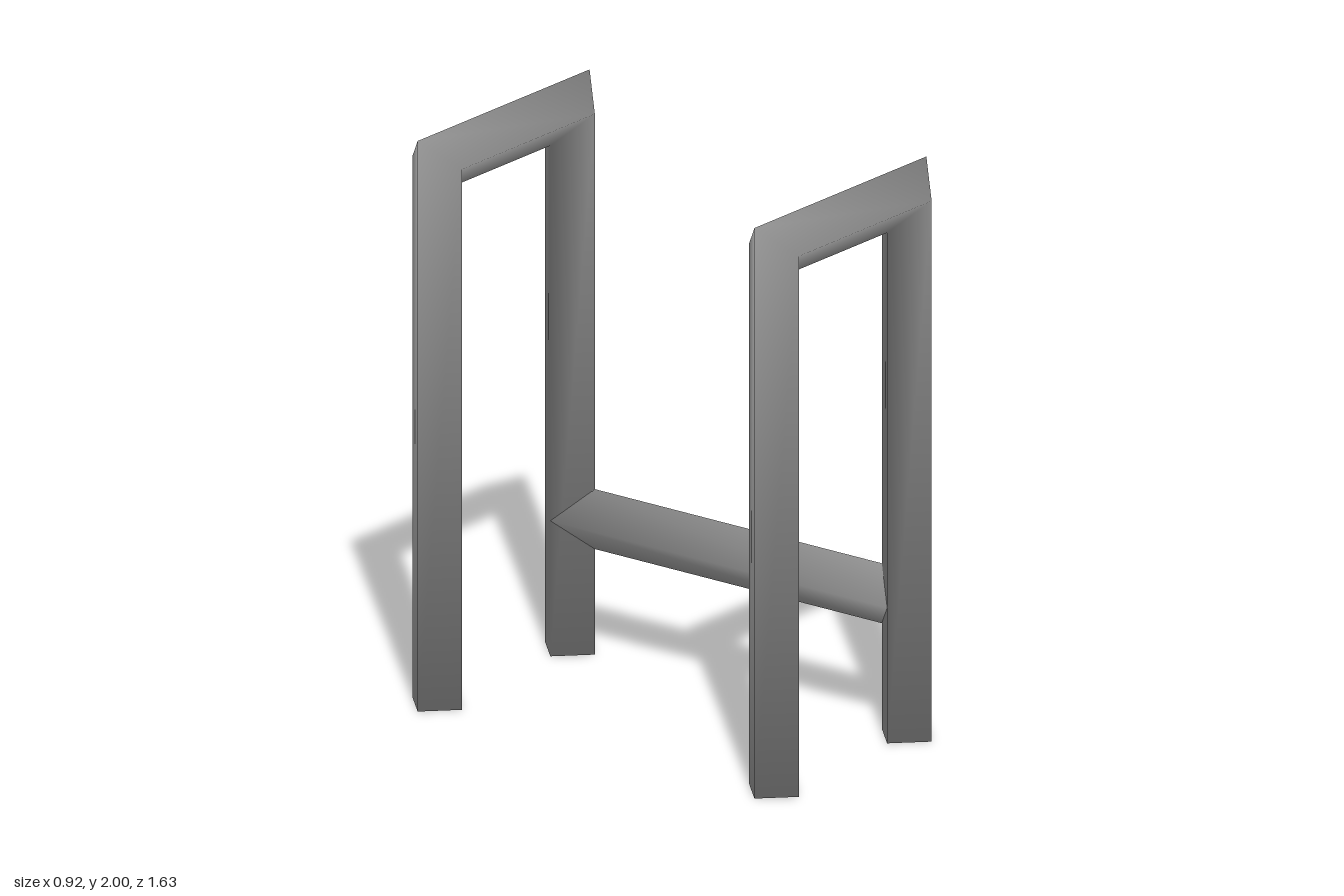
import * as THREE from 'three';

const R = 0.105; // half diagonal of the square section
const X = 0.355, Z = 0.71, TOP = 1.895;
const v = (x, y, z) => new THREE.Vector3(x, y, z);

// Sweeps a diamond section along a path; each stop is [centre, outward offset], smooth shaded.
function diamondBar(stops, side) {
  const points = [], quads = [], last = (stops.length - 1) * 4;
  for (const [c, out] of stops) {
    for (const d of [out, side, out.clone().negate(), side.clone().negate()]) {
      points.push(c.clone().addScaledVector(d, R));
    }
  }
  for (let i = 0; i < last; i += 4) {
    for (let j = 0; j < 4; j++) {
      const a = i + j, b = i + (j + 1) % 4;
      quads.push([a, b, b + 4, a + 4]);
    }
  }
  quads.push([3, 2, 1, 0], [last, last + 1, last + 2, last + 3]); // end caps

  // Shared normals, each face weighted by its corner angle so long faces do not dominate
  const normals = points.map(() => v(0, 0, 0));
  for (const q of quads) {
    q.forEach((p, k) => {
      const e1 = points[q[(k + 1) % 4]].clone().sub(points[p]);
      const e2 = points[q[(k + 3) % 4]].clone().sub(points[p]);
      const angle = e1.angleTo(e2);
      normals[p].addScaledVector(e1.cross(e2).normalize(), angle);
    });
  }
  normals.forEach((n) => n.normalize());

  const g = new THREE.BufferGeometry().setFromPoints(points);
  g.setAttribute('normal', new THREE.Float32BufferAttribute(normals.flatMap((n) => n.toArray()), 3));
  g.setIndex(quads.flatMap(([a, b, c, d]) => [a, b, c, a, c, d]));
  return g;
}

export function createModel() {
  const group = new THREE.Group();
  const material = new THREE.MeshStandardMaterial({ color: 0x909090 });
  const add = (name, geometry, z = 0) => {
    const mesh = new THREE.Mesh(geometry, material);
    mesh.name = name;
    mesh.position.z = z;
    group.add(mesh);
  };

  // Two upright frames with mitred top corners
  const frame = diamondBar([
    [v(-X, 0, 0), v(-1, 0, 0)],
    [v(-X, TOP, 0), v(-1, 1, 0)],
    [v(X, TOP, 0), v(1, 1, 0)],
    [v(X, 0, 0), v(1, 0, 0)],
  ], v(0, 0, 1));
  add('frontFrame', frame, Z);
  add('backFrame', frame, -Z);

  // Low stretcher joining the left legs
  add('stretcher', diamondBar([
    [v(X, 0.475, Z), v(0, 1, 0)],
    [v(X, 0.475, -Z), v(0, 1, 0)],
  ], v(1, 0, 0)));

  return group;
}
